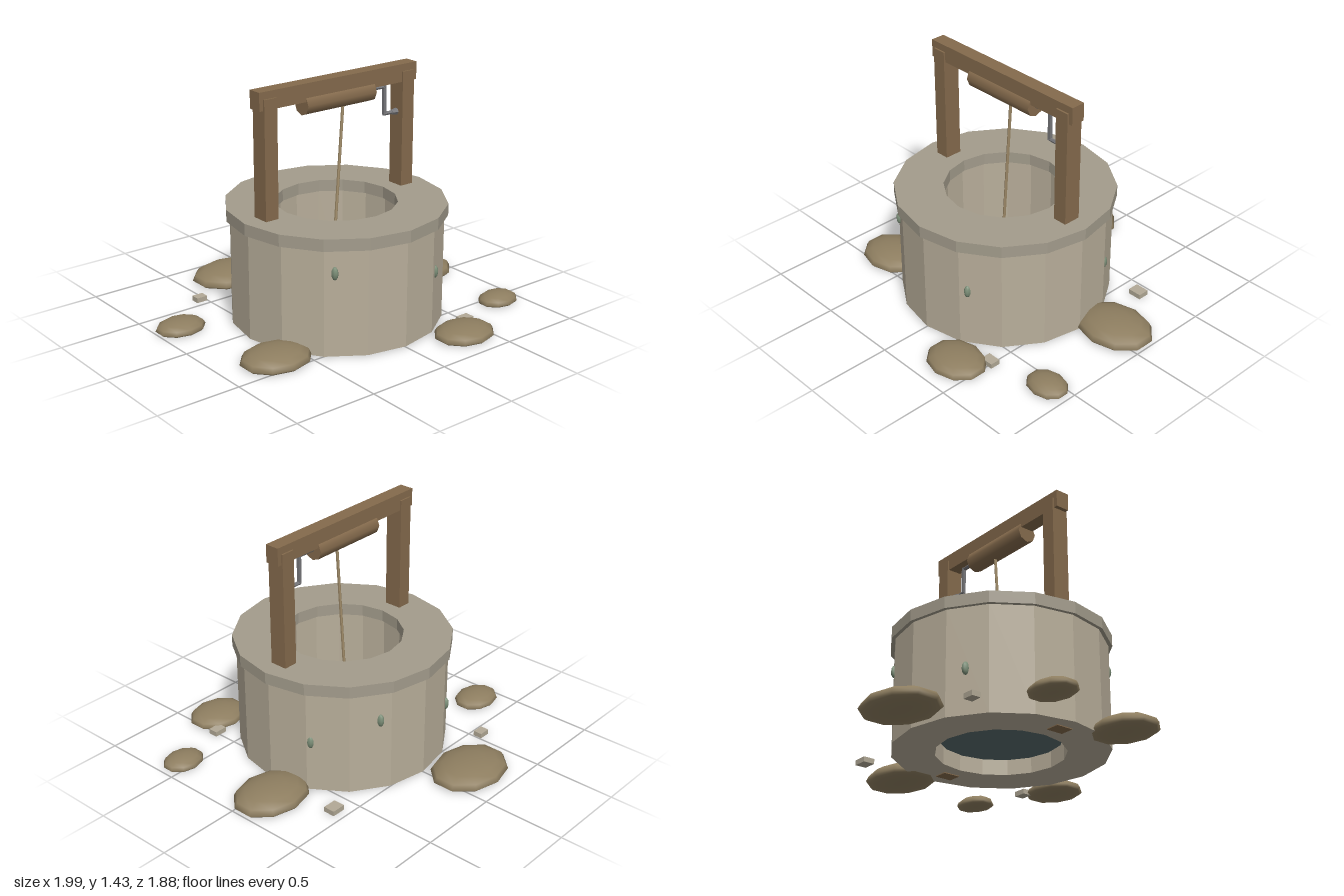
import * as THREE from 'three';
import { mergeVertices } from 'three/addons/utils/BufferGeometryUtils.js';

const mat = (color, flatShading = true, side = THREE.FrontSide) =>
  new THREE.MeshStandardMaterial({ color, flatShading, side });

const M = {
  wall: mat(0xb8ae9a),
  rim: mat(0xa39c8c),
  wood: mat(0x846a4c),
  roundWood: mat(0x846a4c, false),
  bucket: mat(0x846a4c, true, THREE.DoubleSide),
  metal: mat(0x77777a),
  rope: mat(0xa08c6a),
  water: mat(0x586a6c, false, THREE.DoubleSide),
  moss: mat(0x7c8f78, false),
  rock: mat(0x8e7e60, false),
  pebble: mat(0xb2a996),
};

function add(parent, name, geometry, material, x = 0, y = 0, z = 0) {
  const mesh = new THREE.Mesh(geometry, material);
  mesh.name = name;
  mesh.position.set(x, y, z);
  parent.add(mesh);
  return mesh;
}

const box = (w, h, d) => new THREE.BoxGeometry(w, h, d);

// Sixteen-sided stone ring with a rectangular section
function ring(inner, outer, bottom, top) {
  const section = [[inner, bottom], [outer, bottom], [outer, top], [inner, top], [inner, bottom]];
  return new THREE.LatheGeometry(section.map(([r, y]) => new THREE.Vector2(r, y)), 16);
}

// Round bar between two points
function rod(parent, name, from, to, r0, r1, sides, material) {
  const a = new THREE.Vector3(...from), b = new THREE.Vector3(...to);
  const mesh = add(parent, name, new THREE.CylinderGeometry(r1, r0, a.distanceTo(b), sides), material);
  mesh.position.copy(a).lerp(b, 0.5);
  mesh.quaternion.setFromUnitVectors(new THREE.Vector3(0, 1, 0), b.sub(a).normalize());
  return mesh;
}

// Squashed ten-sided dome with a flat underside
function rockGeometry(rx, h, rz) {
  const g = new THREE.SphereGeometry(1, 10, 8);
  g.rotateY(Math.PI / 2);
  const p = g.attributes.position;
  for (let i = 0; i < p.count; i++) p.setY(i, Math.max(p.getY(i), -0.2));
  g.translate(0, 0.2, 0);
  g.scale(rx * 1.02, h / 1.2, rz);
  return g;
}

export function createModel() {
  const model = new THREE.Group();
  model.name = 'stoneWell';

  const well = new THREE.Group();
  well.name = 'well';
  well.position.z = 0.07;
  model.add(well);

  // Masonry
  add(well, 'wall', ring(0.372, 0.62, 0.005, 0.635), M.wall);
  add(well, 'rim', ring(0.355, 0.642, 0.63, 0.7), M.rim);

  // Water, smoothed over its edge
  const waterDisc = new THREE.CylinderGeometry(0.352, 0.352, 0.02, 16);
  waterDisc.deleteAttribute('uv');
  waterDisc.deleteAttribute('normal');
  const smoothDisc = mergeVertices(waterDisc);
  smoothDisc.computeVertexNormals();
  add(well, 'water', smoothDisc, M.water, 0, 0.1, 0);

  // Timber frame, posts running down through the wall
  for (const s of [-1, 1]) add(well, 'post', box(0.086, 1.39, 0.106), M.wood, s * 0.492, 0.695, 0);
  add(well, 'crossBeam', box(1.12, 0.105, 0.086), M.wood, 0, 1.38, 0);

  // Winding drum
  const drum = add(well, 'drum', new THREE.CylinderGeometry(0.062, 0.062, 0.49, 8), M.roundWood, 0, 1.305, 0);
  drum.rotation.z = Math.PI / 2;

  // Crank
  rod(well, 'crankShaft', [0.24, 1.312, 0], [0.36, 1.305, 0], 0.015, 0.009, 6, M.metal);
  add(well, 'crankArm', box(0.018, 0.175, 0.018), M.metal, 0.355, 1.228, 0);
  rod(well, 'crankHandle', [0.35, 1.145, 0], [0.42, 1.145, 0], 0.011, 0.011, 6, M.metal);
  rod(well, 'crankGrip', [0.41, 1.145, 0], [0.46, 1.145, 0], 0.014, 0.022, 6, M.metal);

  // Rope and hanging bucket
  rod(well, 'rope', [0.05, 1.29, 0], [-0.012, 0.45, 0], 0.009, 0.009, 6, M.rope);
  const bucketSection = [[0, 0.18], [0.085, 0.18], [0.112, 0.36], [0.095, 0.36], [0.072, 0.2], [0, 0.2]];
  const bucket = add(well, 'bucket',
    new THREE.LatheGeometry(bucketSection.map(([r, y]) => new THREE.Vector2(r, y)), 8), M.bucket);
  bucket.rotation.y = Math.PI / 8;
  const handle = add(well, 'bucketHandle', new THREE.TorusGeometry(0.1, 0.007, 5, 12, Math.PI), M.metal, 0, 0.35, 0);
  handle.rotation.y = Math.PI / 2;

  // Moss patches on the wall
  const mossPatches = [[-0.39, 0.495, 0.54], [0.275, 0.36, 0.612], [0.555, 0.315, -0.18],
    [0.29, 0.45, -0.465], [-0.33, 0.27, -0.44]];
  for (const [x, y, z] of mossPatches) {
    const moss = add(model, 'moss', new THREE.SphereGeometry(1, 8, 6), M.moss, x, y, z);
    moss.scale.set(0.018, 0.039, 0.025);
  }

  // Rocks around the base: x, z, half width, half depth, height
  const rocks = [
    [-0.18, -0.745, 0.255, 0.203, 0.09],
    [-0.85, -0.29, 0.15, 0.12, 0.065],
    [0.76, -0.07, 0.24, 0.19, 0.095],
    [-0.67, 0.38, 0.21, 0.175, 0.085],
    [0.36, 0.78, 0.185, 0.155, 0.073],
    [0.85, 0.56, 0.128, 0.103, 0.062],
  ];
  for (const [x, z, rx, rz, h] of rocks) add(model, 'rock', rockGeometry(rx, h, rz), M.rock, x, 0.003, z);

  // Loose stone chips
  const chips = [[-0.54, -0.56, 0.07, 0.055], [0.625, -0.42, 0.085, 0.07], [0.493, 0.648, 0.08, 0.06]];
  for (const [x, z, w, d] of chips) add(model, 'stoneChip', box(w, 0.03, d), M.pebble, x, 0.017, z);

  return model;
}
